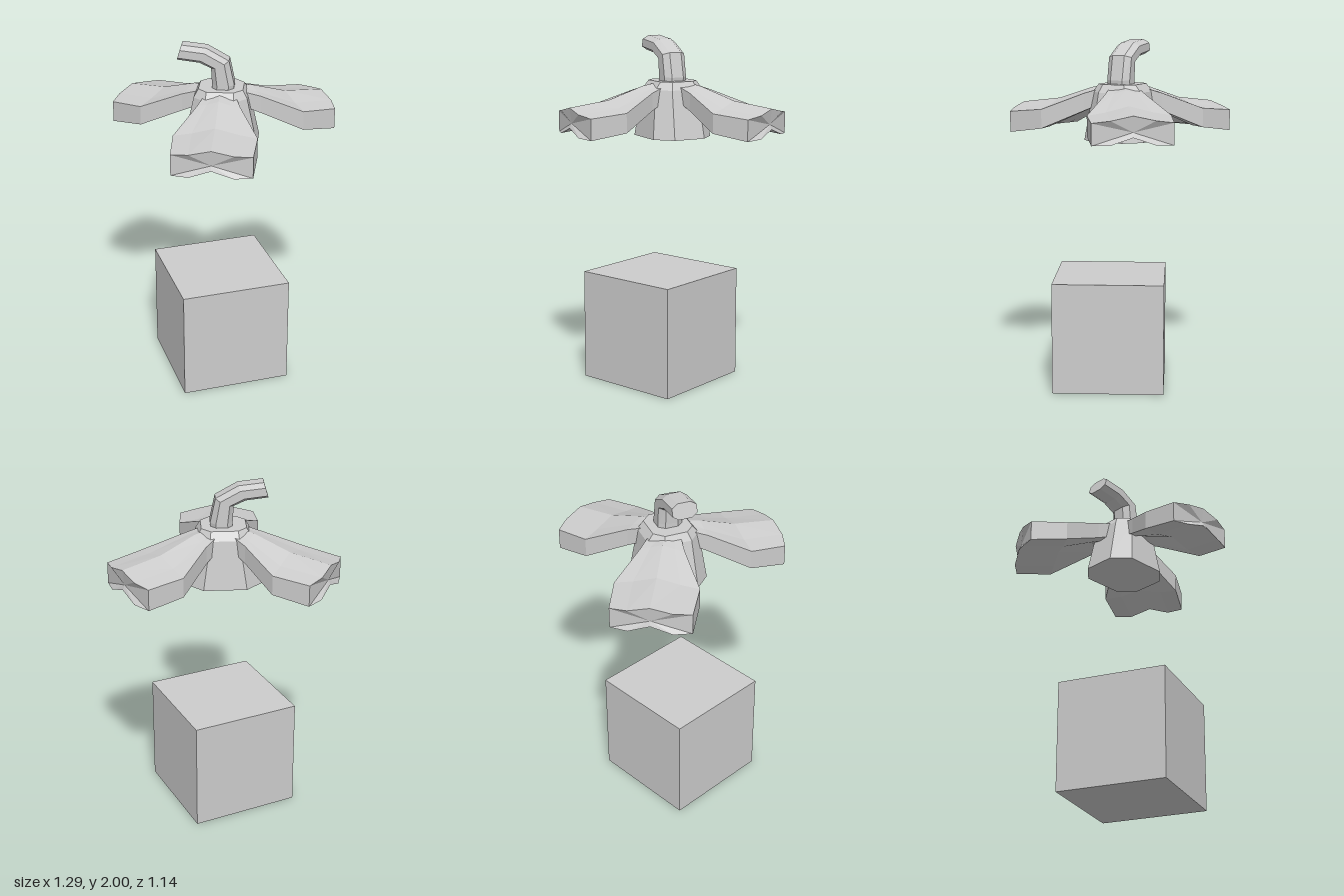
import * as THREE from 'three';

const CZ = -0.075; // z of the calyx axis

// Skin between closed rings (counter-clockwise seen from the far end), capped at both ends.
function loft(rings) {
  const pos = [];
  const tri = (...pts) => pts.forEach((p) => pos.push(...p));
  const n = rings[0].length;
  for (let i = 0; i < rings.length - 1; i++) {
    for (let j = 0; j < n; j++) {
      const k = (j + 1) % n;
      const a = rings[i][j], b = rings[i][k], c = rings[i + 1][k], d = rings[i + 1][j];
      tri(a, b, c);
      tri(a, c, d);
    }
  }
  const cap = (ring, flip) => {
    const mid = [0, 1, 2].map((q) => ring.reduce((s, p) => s + p[q], 0) / n);
    for (let j = 0; j < n; j++) {
      const a = ring[j], b = ring[(j + 1) % n];
      flip ? tri(mid, b, a) : tri(mid, a, b);
    }
  };
  cap(rings[0], true);
  cap(rings[rings.length - 1], false);
  const g = new THREE.BufferGeometry();
  g.setAttribute('position', new THREE.Float32BufferAttribute(pos, 3));
  g.computeVertexNormals();
  return g;
}

// Rectangle with cut corners
function octagon(u, v, c) {
  return [[u, -v + c], [u, v - c], [u - c, v], [-u + c, v], [-u, v - c], [-u, -v + c], [-u + c, -v], [u - c, -v]];
}

// Arched leaf section: half width, centre and edge heights, z at centre and at edge
function leafRing({ w, top, topEdge, bottom, bottomEdge, z, zEdge = z }) {
  const h = w * 0.55;
  const tm = topEdge + (top - topEdge) * 0.35;
  const bm = bottomEdge + (bottom - bottomEdge) * 0.1;
  return [
    [-w, bottomEdge, zEdge], [-h, bm, z], [0, bottom, z], [h, bm, z], [w, bottomEdge, zEdge],
    [w, topEdge, zEdge], [h, tm, z], [0, top, z], [-h, tm, z], [-w, topEdge, zEdge],
  ];
}

export function createModel() {
  const model = new THREE.Group();
  const grey = new THREE.MeshStandardMaterial({ color: 0xcccccc });
  grey.name = 'plain grey';
  grey.flatShading = true;

  const add = (name, geometry) => {
    const mesh = new THREE.Mesh(geometry, grey);
    mesh.name = name;
    model.add(mesh);
    return mesh;
  };

  // Block on the ground, turned about the vertical
  const block = add('block', new THREE.BoxGeometry(0.637, 0.64, 0.637));
  block.position.y = 0.32;
  block.rotation.y = 0.388;

  // Eight-sided calyx core: y, half width, half depth, corner cut
  const core = [
    [1.435, 0.21, 0.185, 0.09],
    [1.71, 0.15, 0.15, 0.07],
    [1.755, 0.125, 0.115, 0.05],
  ];
  add('calyxCore', loft(core.map(([y, u, v, c]) => octagon(u, v, c).map(([a, b]) => [a, y, CZ - b]))));

  // Stem bending to the right: inner x, y and outer x, y of each section
  const stem = [
    [-0.05, 1.73, 0.07, 1.73],
    [-0.05, 1.78, 0.075, 1.775],
    [-0.055, 1.87, 0.045, 1.915],
    [-0.12, 1.9, -0.08, 1.985],
    [-0.245, 1.915, -0.22, 2.0],
  ];
  add('stem', loft(stem.map(([ix, iy, ox, oy]) =>
    octagon(0.5, 0.5, 0.24).map(([a, b]) => {
      const t = a + 0.5;
      return [ix + (ox - ix) * t, iy + (oy - iy) * t, CZ + 0.005 - b * 0.14];
    }))));

  // Three leaves spread evenly round the core; z is measured from its axis
  const leaf = loft([
    { w: 0.08, top: 1.75, topEdge: 1.735, bottom: 1.66, bottomEdge: 1.65, z: 0.08 },
    { w: 0.12, top: 1.73, topEdge: 1.7, bottom: 1.63, bottomEdge: 1.6, z: 0.19 },
    { w: 0.23, top: 1.66, topEdge: 1.61, bottom: 1.535, bottomEdge: 1.5, z: 0.405 },
    { w: 0.22, top: 1.63, topEdge: 1.59, bottom: 1.515, bottomEdge: 1.47, z: 0.645, zEdge: 0.615 },
  ].map(leafRing));
  ['frontLeaf', 'backLeftLeaf', 'backRightLeaf'].forEach((name, i) => {
    const mesh = add(name, leaf);
    mesh.position.z = CZ;
    mesh.rotation.y = (i * Math.PI * 2) / 3;
  });

  return model;
}
